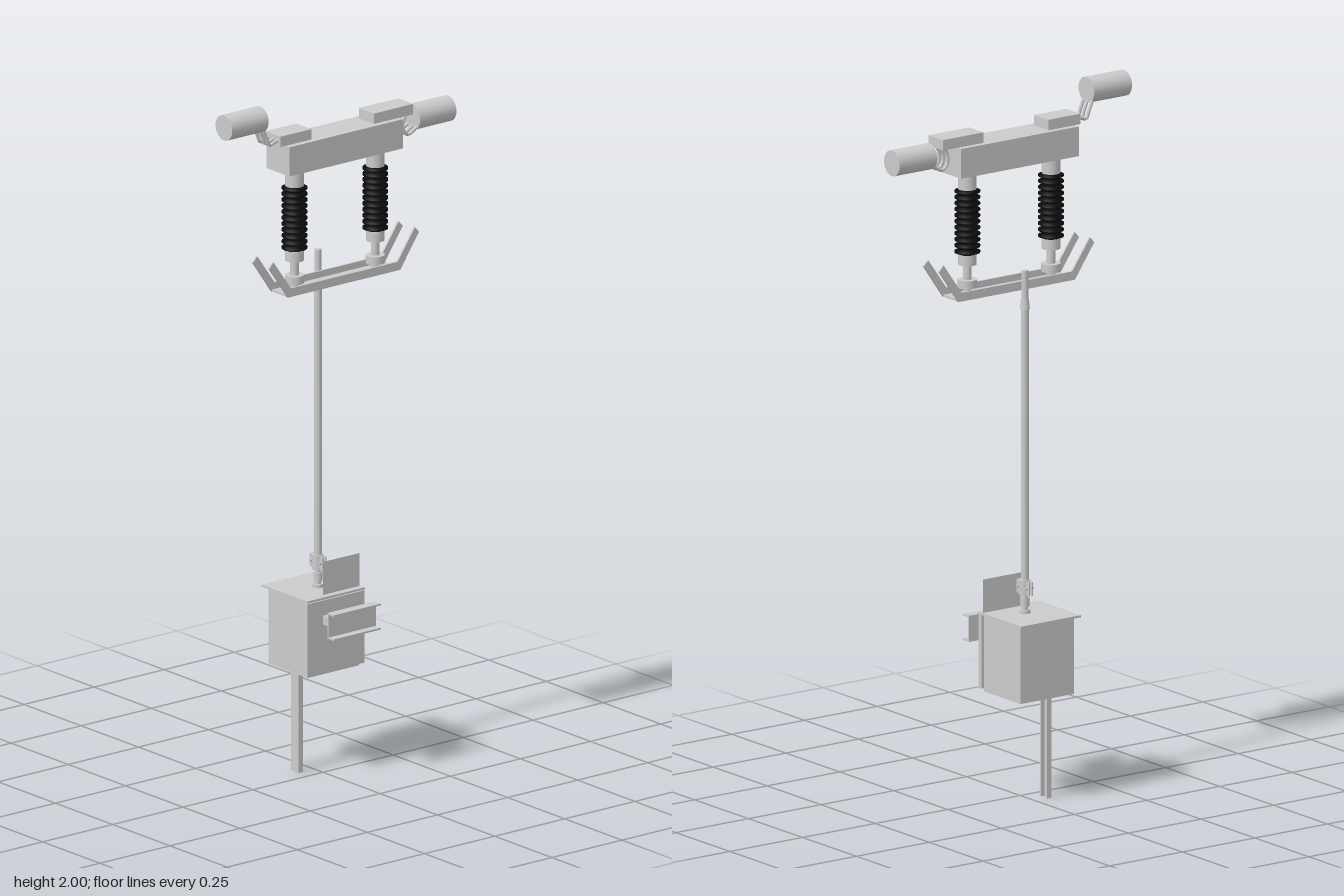
import * as THREE from 'three';

const grey = new THREE.MeshStandardMaterial({ color: 0xcccccc });
const greyTwoSided = new THREE.MeshStandardMaterial({ color: 0xcccccc, side: THREE.DoubleSide });
const black = new THREE.MeshStandardMaterial({ color: 0x0a0a0a });

export function createModel() {
  const model = new THREE.Group();
  const headZ = 0.057;

  const add = (name, geometry, material = grey, parent = model) => {
    const mesh = new THREE.Mesh(geometry, material);
    mesh.name = name;
    parent.add(mesh);
    return mesh;
  };
  // Box given by its extents on each axis
  const box = (name, [x0, x1], [y0, y1], [z0, z1], parent = model) => {
    const mesh = add(name, new THREE.BoxGeometry(x1 - x0, y1 - y0, z1 - z0), grey, parent);
    mesh.position.set((x0 + x1) / 2, (y0 + y1) / 2, (z0 + z1) / 2);
    return mesh;
  };
  // Upright cylinder between two heights
  const post = (name, x, z, y0, y1, r, parent = model, rTop = r, sides = 20) => {
    const mesh = add(name, new THREE.CylinderGeometry(rTop, r, y1 - y0, sides), grey, parent);
    mesh.position.set(x, (y0 + y1) / 2, z);
    return mesh;
  };

  // Top beam with its two terminal pads
  box('topBeam', [-0.205, 0.2], [1.795, 1.88], [0.005, 0.105]);
  box('rightPad', [-0.223, -0.113], [1.88, 1.91], [0.022, 0.088]);
  box('leftPad', [0.11, 0.25], [1.88, 1.91], [0.022, 0.088]);

  // End cylinders, each carried by three bent fingers
  const contacts = [
    { side: 'right', x: -0.335, y: 1.9635, path: [[-0.2, 1.9], [-0.235, 1.893], [-0.253, 1.888], [-0.263, 1.91], [-0.278, 1.945]] },
    { side: 'left', x: 0.335, y: 1.86, path: [[0.248, 1.888], [0.23, 1.875], [0.224, 1.84], [0.24, 1.82], [0.275, 1.836]] },
  ];
  for (const { side, x, y, path } of contacts) {
    const drum = add(`${side}Drum`, new THREE.CylinderGeometry(0.0365, 0.0365, 0.13, 24));
    drum.rotation.z = Math.PI / 2;
    drum.position.set(x, y, headZ);
    for (const z of [0.036, headZ, 0.075]) {
      const curve = new THREE.CatmullRomCurve3(path.map(([px, py]) => new THREE.Vector3(px, py, z)));
      add(`${side}Finger`, new THREE.TubeGeometry(curve, 16, 0.005, 8));
    }
  }

  // Ribbed insulator columns with metal end fittings
  const ribs = 11, bottom = 1.558, rise = 0.19 / ribs;
  const profile = [new THREE.Vector2(0, bottom)];
  for (let i = 0; i < ribs; i++) {
    const y = bottom + i * rise;
    [[0.024, 0], [0.024, 0.25], [0.036, 0.4], [0.036, 0.65], [0.024, 0.95]]
      .forEach(([r, t]) => profile.push(new THREE.Vector2(r, y + t * rise)));
  }
  profile.push(new THREE.Vector2(0, bottom + 0.19));
  for (const x of [-0.148, 0.14]) {
    const column = new THREE.Group();
    column.name = 'insulatorColumn';
    model.add(column);
    post('upperCap', x, headZ, 1.745, 1.797, 0.026, column);
    add('ribbedInsulator', new THREE.LatheGeometry(profile, 24), black, column).position.set(x, 0, headZ);
    post('lowerCap', x, headZ, 1.53, 1.56, 0.026, column);
    post('stem', x, headZ, 1.444, 1.532, 0.012, column);
    post('flange', x, headZ, 1.465, 1.488, 0.027, column);
  }

  // Lower trough: thin floor between two side strips with raised horns
  box('troughFloor', [-0.2, 0.2], [1.44, 1.446], [0.018, 0.093]);
  const strip = new THREE.Shape([
    [-0.2, 1.44], [0.2, 1.44], [0.267, 1.537], [0.252, 1.553], [0.19, 1.465],
    [-0.19, 1.465], [-0.252, 1.553], [-0.267, 1.537],
  ].map(([x, y]) => new THREE.Vector2(x, y)));
  for (const z of [0.016, 0.087]) {
    add('troughSide', new THREE.ExtrudeGeometry(strip, { depth: 0.006, bevelEnabled: false })).position.z = z;
  }

  // Vertical drive rod with a coupling near its top
  const rodX = 0.006, rodZ = -0.029;
  post('driveRod', rodX, rodZ, 0.6, 1.41, 0.011);
  post('rodCoupling', rodX, rodZ, 1.4, 1.43, 0.014, model, 0.011);
  post('rodTip', rodX, rodZ, 1.43, 1.51, 0.0095);
  post('rodNeck', rodX, rodZ, 0.53, 0.6, 0.009);
  post('neckCollar', rodX, rodZ, 0.53, 0.54, 0.015);
  post('neckJoint', rodX, rodZ, 0.55, 0.575, 0.013);

  // Clamp around the rod, bolted on both sides
  post('clampSleeve', rodX, rodZ, 0.582, 0.625, 0.017);
  for (const s of [-1, 1]) {
    const z = rodZ + s * 0.02;
    for (const dx of [-0.005, 0.005]) {
      box('clampEar', [rodX + dx - 0.002, rodX + dx + 0.002], [0.584, 0.623], [z - 0.009, z + 0.009]);
    }
    const bolt = post('clampBolt', rodX, z, 0.59, 0.618, 0.004, model, 0.004, 6);
    bolt.rotation.z = Math.PI / 2;
    bolt.position.y = 0.604;
  }

  // Drive cabinet
  box('cabinetBody', [-0.092, 0.092], [0.303, 0.525], [-0.125, 0.045]);
  box('cabinetDoor', [-0.103, 0.1], [0.312, 0.522], [0.045, 0.058]);
  box('cabinetLid', [-0.103, 0.103], [0.524, 0.53], [-0.142, 0.058]);
  add('uprightPlate', new THREE.PlaneGeometry(0.13, 0.097), greyTwoSided).position.set(0.035, 0.577, 0.038);

  // Mounting channel, open to the front, on a short stub
  box('mountStub', [-0.048, 0.055], [0.453, 0.478], [0.058, 0.114]);
  box('mountWeb', [-0.075, 0.093], [0.43, 0.505], [0.112, 0.117]);
  for (const y of [0.43, 0.5]) box('mountFlange', [-0.075, 0.093], [y, y + 0.005], [0.112, 0.14]);

  // Lower channel post below the cabinet
  box('lowerPostWeb', [-0.056, -0.052], [0, 0.305], [-0.07, -0.038]);
  for (const z of [-0.07, -0.042]) box('lowerPostFlange', [-0.056, -0.04], [0, 0.305], [z, z + 0.004]);

  return model;
}
